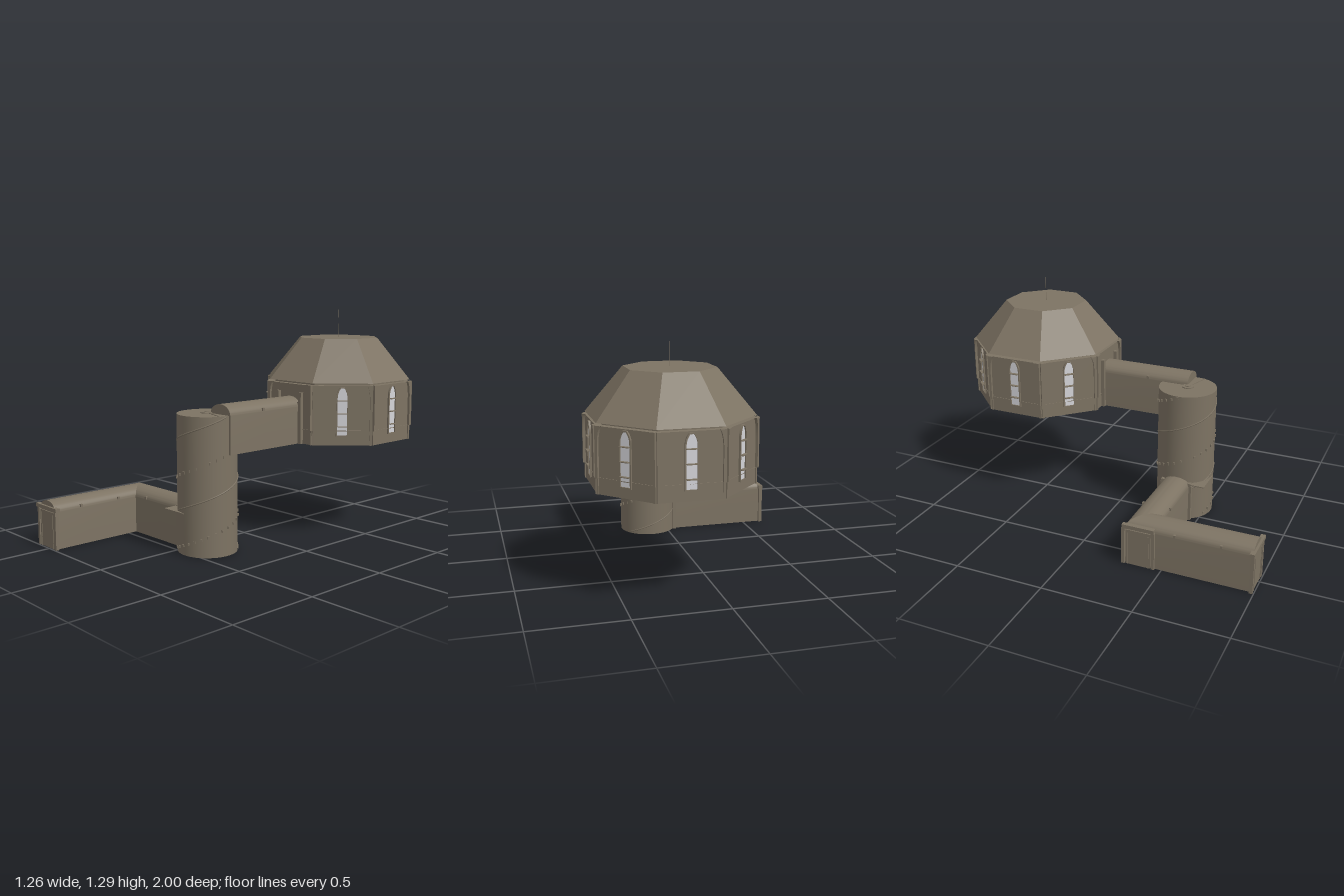
import * as THREE from 'three';
import { toCreasedNormals } from 'three/addons/utils/BufferGeometryUtils.js';

export function createModel() {
  const model = new THREE.Group();
  const stone = new THREE.MeshStandardMaterial({ color: 0x7d7363 });
  stone.name = 'stone';
  const glass = new THREE.MeshStandardMaterial({ color: 0xd4d4d8 });
  glass.name = 'paleGlass';

  const add = (parent, name, geo, x = 0, y = 0, z = 0, mat = stone) => {
    const m = new THREE.Mesh(geo, mat);
    m.name = name;
    m.position.set(x, y, z);
    parent.add(m);
    return m;
  };
  const box = (parent, name, w, h, d, x, y, z) =>
    add(parent, name, new THREE.BoxGeometry(w, h, d), x, y, z);
  const group = (parent, name, x, y, z, turn = 0) => {
    const g = new THREE.Group();
    g.name = name;
    g.position.set(x, y, z);
    g.rotation.y = turn;
    parent.add(g);
    return g;
  };
  const extrude = (shape, depth) =>
    new THREE.ExtrudeGeometry(shape, { depth, bevelEnabled: false, curveSegments: 16 });

  // Vaulted corridor along local +z, its start cut on a mitre when asked
  const HALF = 0.078, H = 0.264, RISE = 0.055;
  function corridor(name, x, y, z, turn, length, mitre, lampZ) {
    const g = group(model, name, x, y, z, turn);
    const s = new THREE.Shape();
    s.moveTo(-HALF, 0);
    s.lineTo(HALF, 0);
    s.lineTo(HALF, H - RISE);
    s.absellipse(0, H - RISE, HALF, RISE, 0, Math.PI, false);
    s.lineTo(-HALF, 0);
    const geo = extrude(s, length);
    const p = geo.attributes.position;
    for (let i = 0; i < p.count; i++) {
      if (p.getZ(i) < 1e-4) p.setZ(i, mitre * p.getX(i));
    }
    add(g, 'vault', toCreasedNormals(geo, 0.6));
    for (const lz of lampZ) for (const side of [-1, 1]) {
      box(g, 'lamp', 0.016, 0.016, 0.014, side * 0.077, 0.222, lz);
    }
    return g;
  }
  const CX = -0.528, CZ = 0.37;
  corridor('entranceCorridor', CX, 0, CZ, 0, 0.615, 1, [0.2, 0.45]);
  corridor('towerCorridor', CX, 0, CZ, Math.PI / 2, 0.54, -1, [0.18]);
  corridor('upperCorridor', 0.202, 0.548, -0.19, 0, 0.55, 0, [0.31]);

  // Door frame facing local +z
  function doorFrame(name, x, y, z, turn, lintelWidth, withDoor) {
    const g = group(model, name, x, y, z, turn);
    for (const side of [-1, 1]) box(g, 'doorPost', 0.018, 0.216, 0.02, side * 0.084, 0.108, 0);
    box(g, 'lintel', lintelWidth, 0.02, 0.026, 0, 0.225, 0);
    if (withDoor) {
      box(g, 'door', 0.14, 0.205, 0.006, 0, 0.103, 0.003);
      for (const side of [-1, 1]) box(g, 'doorTrim', 0.005, 0.19, 0.006, side * 0.058, 0.095, 0.006);
    }
  }
  doorFrame('frontDoor', CX, 0, 0.985, 0, 0.21, true);
  doorFrame('cornerDoor', CX - HALF - 0.004, 0, CZ, -Math.PI / 2, 0.18, true);
  doorFrame('towerDoor', -0.046, 0, CZ, -Math.PI / 2, 0.18, false);
  box(model, 'towerCanopy', 0.16, 0.006, 0.17, 0.02, 0.228, 0.455);

  // Round stair tower
  const tower = group(model, 'stairTower', 0.105, 0, 0.37);
  const R = 0.164, TOP = 0.757, PITCH = 0.395;
  add(tower, 'towerBody', new THREE.CylinderGeometry(R, R, TOP, 48), 0, TOP / 2, 0);
  add(tower, 'stairHub', new THREE.CylinderGeometry(0.034, 0.034, 0.005, 24), 0, TOP + 0.0025, 0);
  add(tower, 'newelPost', new THREE.CylinderGeometry(0.014, 0.014, 0.009, 16), 0, TOP + 0.0045, 0);
  box(tower, 'topStep', 0.13, 0.004, 0.008, 0.09, TOP + 0.002, 0.027).rotation.y = -0.3;

  // Spiral rail and the row of step ends between its turns
  const helix = (a, y0) => new THREE.Vector3(
    Math.cos(a) * R, y0 - PITCH * a / (2 * Math.PI), Math.sin(a) * R);
  const railPts = [];
  for (let a = 0.05; helix(a, 0.755).y > 0.006; a += 0.2) railPts.push(helix(a, 0.755));
  add(tower, 'spiralRail', new THREE.TubeGeometry(
    new THREE.CatmullRomCurve3(railPts), 160, 0.004, 6));
  for (let a = -Math.PI; helix(a, 0.55).y > 0.01; a += 0.235) {
    const p = helix(a, 0.55);
    box(tower, 'stepEnd', 0.012, 0.014, 0.01, p.x, p.y, p.z).rotation.y = -a;
  }

  // Octagonal hall
  const hall = group(model, 'octagonalHall', 0.203, 0, -0.575);
  const A = 0.404, K = 1 / Math.cos(Math.PI / 8);
  const octagon = (name, top, bottom, y0, y1) => {
    const geo = new THREE.CylinderGeometry(top * K, bottom * K, y1 - y0, 8).toNonIndexed();
    geo.rotateY(Math.PI / 8);
    geo.computeVertexNormals();
    add(hall, name, geo, 0, (y0 + y1) / 2, 0);
  };
  octagon('hallWalls', A, A, 0.548, 0.882);
  octagon('eaves', 0.37, 0.37, 0.882, 0.895);
  octagon('roof', 0.22, A - 0.001, 0.895, 1.13);
  add(hall, 'antenna', new THREE.CylinderGeometry(0.0012, 0.0012, 0.16, 6), 0, 1.21, 0);

  // Pointed window outline
  const lancet = (Type, w, y0, y1) => {
    const s = new Type();
    s.moveTo(-w, y0);
    s.lineTo(w, y0);
    s.lineTo(w, y1 - 0.055);
    s.quadraticCurveTo(w, y1 - 0.025, w * 0.35, y1);
    s.lineTo(-w * 0.35, y1);
    s.quadraticCurveTo(-w, y1 - 0.025, -w, y1 - 0.055);
    s.lineTo(-w, y0);
    return s;
  };
  const frameShape = lancet(THREE.Shape, 0.034, 0.598, 0.876);
  frameShape.holes.push(lancet(THREE.Path, 0.027, 0.605, 0.869));
  const frameGeo = extrude(frameShape, 0.01);
  const paneGeo = new THREE.ShapeGeometry(lancet(THREE.Shape, 0.028, 0.604, 0.87));

  // Corner rib that spreads along the wall near the top
  const ribGeo = (side) => {
    const s = new THREE.Shape();
    s.moveTo(side * 0.167, 0.63);
    s.lineTo(side * 0.167, 0.885);
    s.lineTo(side * 0.134, 0.885);
    s.quadraticCurveTo(side * 0.152, 0.86, side * 0.153, 0.79);
    s.lineTo(side * 0.153, 0.63);
    return extrude(s, 0.014);
  };
  const ribs = [ribGeo(-1), ribGeo(1)];

  for (let k = 0; k < 8; k++) {
    const face = group(hall, 'hallSide', 0, 0, 0, k * Math.PI / 4);
    ribs.forEach((geo, i) => {
      add(face, 'cornerRib', geo, 0, 0, A);
      box(face, 'ribFoot', 0.01, 0.082, 0.008, (i ? 1 : -1) * 0.16, 0.589, A + 0.002);
    });
    box(face, 'wallBand', 0.31, 0.004, 0.004, 0, 0.63, A + 0.001);
    if (k === 0) {
      // Doorway where the upper corridor meets the hall
      for (const side of [-1, 1]) {
        box(face, 'doorwayPost', 0.022, 0.29, 0.02, side * 0.088, 0.693, A + 0.01);
        box(face, 'doorwayBracket', 0.055, 0.018, 0.02, side * 0.06, 0.775, A + 0.008);
      }
      continue;
    }
    add(face, 'windowFrame', frameGeo, 0, 0, A);
    add(face, 'windowPane', paneGeo, 0, 0, A + 0.003, glass);
    for (const y of [0.655, 0.728, 0.8]) {
      box(face, 'windowBar', 0.054, 0.004, 0.02, 0, y, A + 0.011);
    }
  }
  return model;
}
